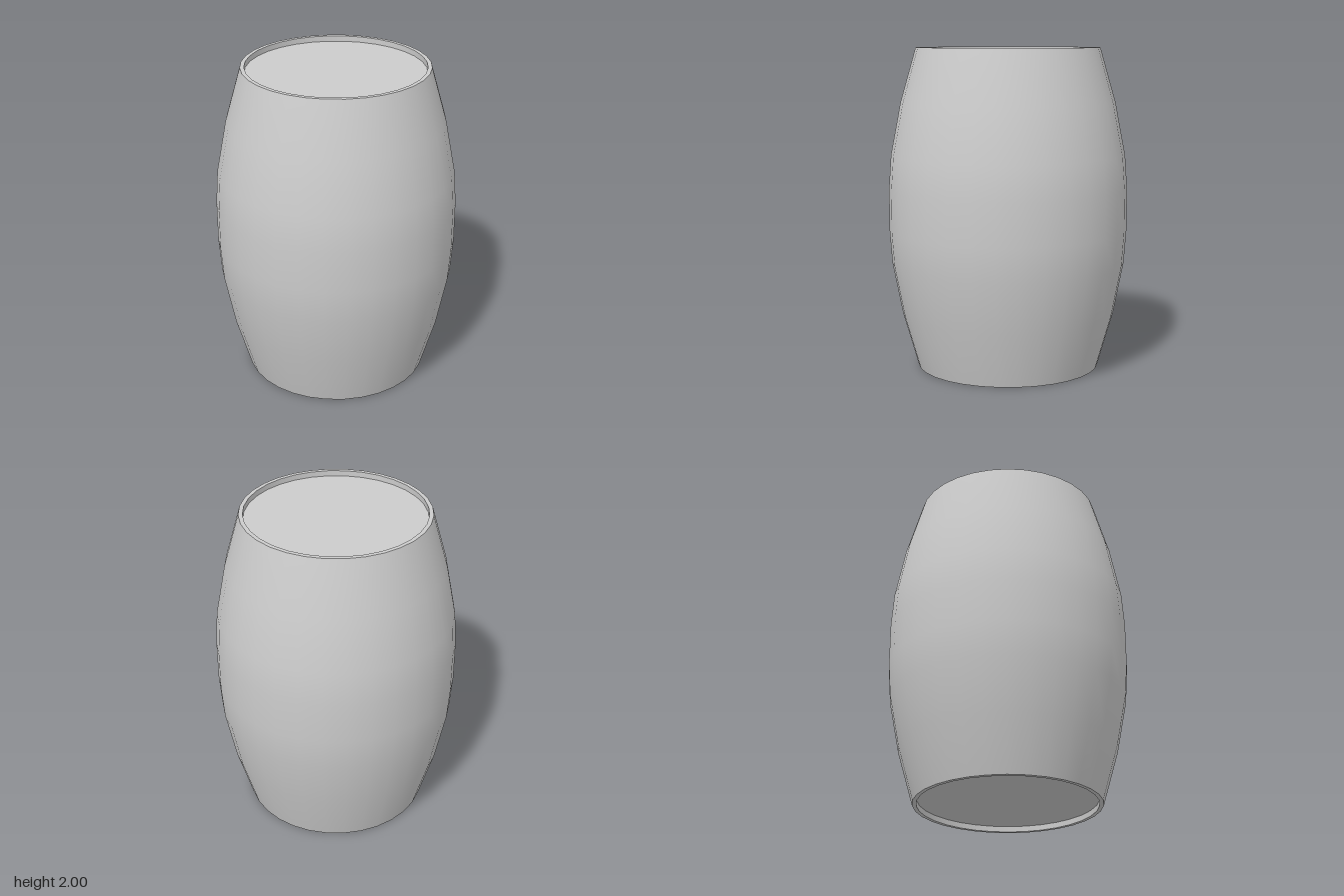
import * as THREE from 'three';

const SIDES = 32;
const RIM = 0.57;    // outer radius at both ends
const INNER = 0.545; // radius of the recessed heads
const DEPTH = 0.035; // how far the heads sit below the rim

export function createModel() {
  const barrel = new THREE.Group();
  barrel.name = 'barrel';
  const material = new THREE.MeshStandardMaterial({ color: 0xcccccc });

  // Each section is its own lathe, so edges between sections stay sharp
  const turn = (name, profile) => {
    const points = profile.map(([r, y]) => new THREE.Vector2(r, y));
    const mesh = new THREE.Mesh(new THREE.LatheGeometry(points, SIDES), material);
    mesh.name = name;
    barrel.add(mesh);
  };

  // Bulging staves, mirrored about mid height
  const lower = [[RIM, 0], [0.666, 0.335], [0.729, 0.66], [0.744, 0.87]];
  const upper = lower.map(([r, y]) => [r, 2 - y]).reverse();
  turn('staves', [...lower, ...upper]);

  // Top end: flat rim, short inner wall, recessed head
  turn('topRim', [[RIM, 2], [INNER, 2]]);
  turn('topInnerWall', [[INNER, 2], [INNER, 2 - DEPTH]]);
  turn('topHead', [[INNER, 2 - DEPTH], [0, 2 - DEPTH]]);

  // Bottom end, running outwards so the faces look down
  turn('bottomHead', [[0, DEPTH], [INNER, DEPTH]]);
  turn('bottomInnerWall', [[INNER, DEPTH], [INNER, 0]]);
  turn('bottomRim', [[INNER, 0], [RIM, 0]]);

  return barrel;
}
